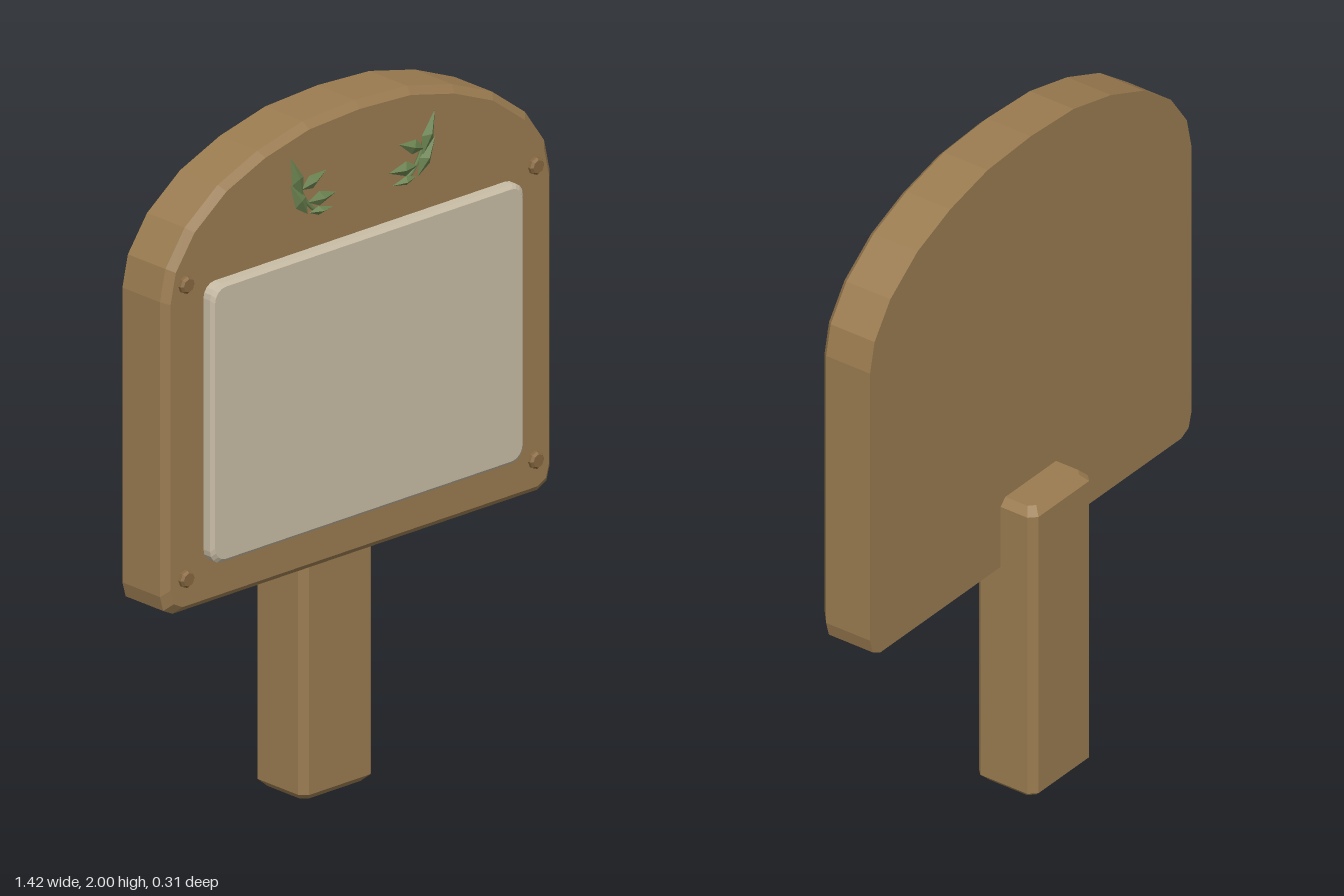
import * as THREE from 'three';

const mat = (name, color) => {
  const m = new THREE.MeshStandardMaterial({ color });
  m.name = name;
  return m;
};

// Flat-shaded solid lofted through counter-clockwise convex loops along +z.
function loft(loops) {
  const pos = [];
  const tri = (a, b, c) => pos.push(...a, ...b, ...c);
  const n = loops[0].length;
  for (let k = 0; k < loops.length - 1; k++) {
    const a = loops[k], b = loops[k + 1];
    for (let i = 0; i < n; i++) {
      const j = (i + 1) % n;
      tri(a[i], a[j], b[j]);
      tri(a[i], b[j], b[i]);
    }
  }
  const back = loops[0], front = loops[loops.length - 1];
  for (let i = 1; i < n - 1; i++) {
    tri(back[0], back[i + 1], back[i]);
    tri(front[0], front[i], front[i + 1]);
  }
  const g = new THREE.BufferGeometry();
  g.setAttribute('position', new THREE.Float32BufferAttribute(pos, 3));
  g.computeVertexNormals();
  return g;
}

// Places an outline at depth z, shrunk by d about the height cy.
function ring(outline, z, d = 0, cy = 0) {
  const hx = Math.max(...outline.map(p => p[0]));
  const hy = Math.max(...outline.map(p => p[1])) - cy;
  return outline.map(([x, y]) => [x * (1 - d / hx), cy + (y - cy) * (1 - d / hy), z]);
}

// Rectangle with rounded corners, each made of the given number of segments.
function roundRect(hx, hy, r, cy, segments) {
  const pts = [];
  [[1, -1], [1, 1], [-1, 1], [-1, -1]].forEach(([sx, sy], c) => {
    for (let i = 0; i <= segments; i++) {
      const a = (c - 1 + i / segments) * Math.PI / 2;
      pts.push([sx * (hx - r) + r * Math.cos(a), cy + sy * (hy - r) + r * Math.sin(a)]);
    }
  });
  return pts;
}

// Pointed leaf with a raised ridge, running from base to tip.
function leafGeometry(bx, by, tx, ty, width) {
  const length = Math.hypot(tx - bx, ty - by);
  const g = new THREE.OctahedronGeometry(1);
  const p = g.attributes.position;
  for (let i = 0; i < p.count; i++) {
    const side = Math.abs(p.getX(i)) > 0.5;
    p.setXYZ(i, p.getX(i) * width / 2, p.getY(i) * length / 2 - (side ? 0.1 * length : 0), p.getZ(i) * 0.014);
  }
  g.computeVertexNormals();
  g.rotateZ(Math.atan2(ty - by, tx - bx) - Math.PI / 2);
  g.translate((bx + tx) / 2, (by + ty) / 2, 0.131);
  return g;
}

export function createModel() {
  const wood = mat('wood', 0x9a7b50);
  const peg = mat('peg wood', 0x86673f);
  const paper = mat('pale panel', 0xc8bca5);
  const green = mat('leaf green', 0x6b8350);
  const model = new THREE.Group();
  model.name = 'signboard';
  const add = (name, geometry, material, parent = model) => {
    const mesh = new THREE.Mesh(geometry, material);
    mesh.name = name;
    parent.add(mesh);
    return mesh;
  };

  // Arched board with a bevelled front edge
  const half = [[0.665, 0.705], [0.698, 0.722], [0.71, 0.765], [0.71, 1.61], [0.69, 1.70],
    [0.62, 1.80], [0.5, 1.89], [0.355, 1.95], [0.19, 1.99]];
  const outline = [...half, [0, 2], ...half.slice().reverse().map(([x, y]) => [-x, y])];
  add('board', loft([ring(outline, -0.047), ring(outline, 0.1), ring(outline, 0.12, 0.02, 1.3525)]), wood);

  // Chamfered post behind the board
  const section = roundRect(0.133, 0.1, 0.021, 0, 1);
  const post = add('post', loft([ring(section, 0, 0.021), ring(section, 0.021),
    ring(section, 0.895), ring(section, 0.916, 0.021)]), wood);
  post.rotation.x = -Math.PI / 2;
  post.position.z = -0.058;

  // Raised panel
  const panel = roundRect(0.57, 0.4, 0.04, 1.23, 4);
  add('panel', loft([ring(panel, 0.115), ring(panel, 0.146), ring(panel, 0.155, 0.01, 1.23)]), paper);

  // Corner pegs
  const pegShape = roundRect(0.025, 0.025, 0.025, 0, 2).filter((_, i) => i % 3 !== 2);
  for (const x of [-0.637, 0.637]) for (const y of [0.805, 1.648]) {
    const m = add('cornerPeg', loft([ring(pegShape, 0.115), ring(pegShape, 0.129), ring(pegShape, 0.136, 0.006)]), peg);
    m.position.set(x, y, 0);
  }

  // Mirrored leaf sprigs: base x, base y, tip x, tip y, width
  const leaves = [[0.218, 1.79, 0.263, 1.912, 0.045], [0.2, 1.735, 0.264, 1.835, 0.045],
    [0.225, 1.81, 0.132, 1.845, 0.042], [0.2, 1.768, 0.095, 1.772, 0.042],
    [0.195, 1.737, 0.108, 1.733, 0.026]];
  for (const s of [1, -1]) {
    const sprig = new THREE.Group();
    sprig.name = s > 0 ? 'leftSprig' : 'rightSprig';
    model.add(sprig);
    for (const [bx, by, tx, ty, w] of leaves) add('leaf', leafGeometry(s * bx, by, s * tx, ty, w), green, sprig);
    const path = new THREE.QuadraticBezierCurve3(new THREE.Vector3(s * 0.165, 1.737, 0.125),
      new THREE.Vector3(s * 0.205, 1.755, 0.125), new THREE.Vector3(s * 0.235, 1.84, 0.125));
    add('stem', new THREE.TubeGeometry(path, 6, 0.006, 5), green, sprig);
  }
  return model;
}
